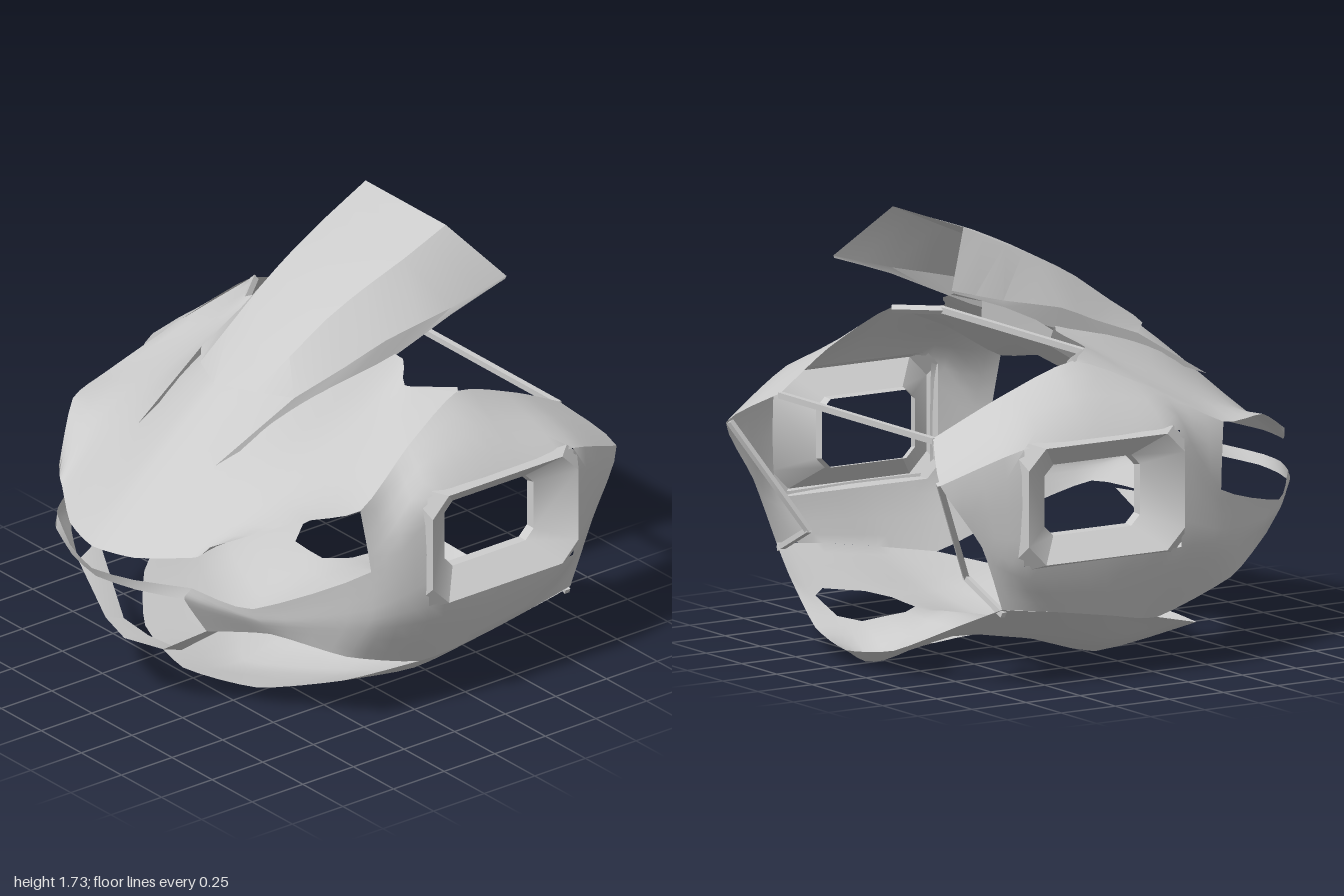
import * as THREE from 'three';
import { mergeGeometries, toCreasedNormals } from 'three/addons/utils/BufferGeometryUtils.js';

const material = new THREE.MeshStandardMaterial({ color: 0xcccccc, side: THREE.DoubleSide });

// Tight cardinal spline through a list of points, s in segment units
function spline(pts, s) {
  const i = Math.min(Math.floor(s), pts.length - 2), t = s - i, k = 0.28;
  const at = (n) => pts[Math.max(0, Math.min(pts.length - 1, n))];
  const [a, b, c, d] = [at(i - 1), at(i), at(i + 1), at(i + 2)];
  const h = t * t * (3 - 2 * t), h1 = t * (1 - t) * (1 - t), h2 = t * t * (t - 1);
  // ease only half way, so short tangents still give even spacing
  const e = 0.5 * h + 0.5 * t;
  return b.map((v, n) => v + (c[n] - v) * e
    + k * ((c[n] - a[n] - (c[n] - v)) * h1 + (d[n] - v - (c[n] - v)) * h2));
}

// Surface through rows of points. hole(i, j): 1 leaves a cell open, 2 leaves it open with cut corners
function surface(rows, ku = 4, kv = 4, hole = () => 0) {
  const nu = (rows[0].length - 1) * ku, nv = (rows.length - 1) * kv, pos = [];
  const lines = rows.map((r) => Array.from({ length: nu + 1 }, (_, i) => spline(r, i / ku)));
  const p = Array.from({ length: nv + 1 }, (_, j) =>
    Array.from({ length: nu + 1 }, (_, i) => spline(lines.map((l) => l[i]), j / kv)));
  for (let j = 0; j < nv; j++) for (let i = 0; i < nu; i++) {
    const a = p[j][i], b = p[j][i + 1], c = p[j + 1][i + 1], d = p[j + 1][i];
    const open = hole(Math.floor(i / ku), Math.floor(j / kv));
    if (!open) pos.push(...a, ...b, ...c, ...a, ...c, ...d);
    else if (open === 2) {
      const l = i % ku === 0, r = i % ku === ku - 1, lo = j % kv === 0, hi = j % kv === kv - 1;
      if (l && lo) pos.push(...a, ...b, ...d);
      if (r && lo) pos.push(...a, ...b, ...c);
      if (l && hi) pos.push(...a, ...c, ...d);
      if (r && hi) pos.push(...b, ...c, ...d);
    }
  }
  const g = new THREE.BufferGeometry();
  g.setAttribute('position', new THREE.Float32BufferAttribute(pos, 3));
  return g;
}

const flip = (row) => row.map(([x, y, z]) => [x, y, -z]);
// Rows run from the outer edge to the centre line; reflect them to the other side
const bothSides = (rows) => [...rows, ...rows.slice(0, -1).reverse().map(flip)];
// A row that runs from the outer edge to the centre line, continued to the other side
const across = (row) => [...row, ...flip(row).reverse().slice(1)];

function addMesh(group, name, geometry, crease = 0.6) {
  const mesh = new THREE.Mesh(toCreasedNormals(geometry, crease), material);
  mesh.name = name;
  group.add(mesh);
}

function addBar(group, name, points, r = 0.012) {
  const pieces = points.slice(1).map((q, i) => {
    const a = new THREE.Vector3(...points[i]), b = new THREE.Vector3(...q), d = b.clone().sub(a);
    const g = new THREE.BoxGeometry(r * 2, d.length() + r, r * 2).toNonIndexed();
    g.applyQuaternion(new THREE.Quaternion().setFromUnitVectors(new THREE.Vector3(0, 1, 0), d.normalize()));
    return g.translate(...a.add(b).multiplyScalar(0.5).toArray());
  });
  addMesh(group, name, mergeGeometries(pieces));
}

// Rectangle with cut corners, as a closed ring
function ventRing(hx, hy, z, c) {
  const ring = [[hx - c, hy], [hx, hy - c], [hx, c - hy], [hx - c, -hy],
    [c - hx, -hy], [-hx, c - hy], [-hx, hy - c], [c - hx, hy]];
  return [...ring, ring[0]].map(([x, y]) => [0.32 + x, 0.74 + y, z]);
}

export function createModel() {
  const model = new THREE.Group();

  // Edge shared by the crown and the side walls
  const flange = [[-0.79, 0.83, 0.47], [-0.54, 0.95, 0.7], [-0.3, 0.96, 0.79], [0, 1.12, 0.71], [0.3, 1.24, 0.64]];

  // Crown, with a crease along each side
  const crown = surface(bothSides([
    flange,
    [[-0.81, 0.79, 0.44], [-0.57, 0.93, 0.52], [-0.28, 1.04, 0.56], [0, 1.16, 0.55], [0.15, 1.255, 0.5]],
    [[-0.83, 0.77, 0.4], [-0.58, 0.94, 0.43], [-0.28, 1.09, 0.43], [0, 1.21, 0.42], [0.22, 1.31, 0.4]],
    [[-0.95, 0.73, 0.2], [-0.68, 0.93, 0.22], [-0.36, 1.16, 0.24], [-0.12, 1.28, 0.25], [0.14, 1.37, 0.26]],
    [[-1, 0.72, 0], [-0.72, 0.96, 0], [-0.4, 1.22, 0], [-0.15, 1.34, 0], [0.1, 1.44, 0]],
  ]), 4, 3);

  // Side walls: rear slot and vent left open
  const wall = [
    [...flange, [0.62, 1.12, 0.6], [0.88, 0.98, 0.54]],
    [[-0.84, 0.65, 0.42], [-0.68, 0.58, 0.6], [-0.27, 0.7, 0.82], [-0.04, 0.97, 0.88],
      [0.32, 0.98, 0.89], [0.68, 0.97, 0.88], [0.99, 0.84, 0.76]],
    [[-0.86, 0.6, 0.4], [-0.65, 0.52, 0.62], [-0.28, 0.5, 0.83], [-0.04, 0.51, 0.89],
      [0.32, 0.51, 0.9], [0.68, 0.51, 0.88], [0.83, 0.59, 0.81]],
    [[-0.75, 0.43, 0.4], [-0.61, 0.46, 0.62], [-0.35, 0.34, 0.77], [0, 0.22, 0.78],
      [0.25, 0.26, 0.82], [0.5, 0.3, 0.82], [0.73, 0.33, 0.8]],
  ];
  const wallHole = (i, j) => ((j === 0 && i < 2) || (j === 1 && (i === 3 || i === 4)) ? 1 : 0);

  // Floor and chin with two openings
  const floor = surface(bothSides([
    [[0, 0.22, 0.78], [0.25, 0.26, 0.82], [0.5, 0.3, 0.82], [0.66, 0.32, 0.81], [0.73, 0.33, 0.8]],
    [[-0.25, 0.15, 0.62], [0.1, 0.1, 0.62], [0.4, 0.14, 0.56], [0.75, 0.2, 0.55], [0.8, 0.24, 0.6]],
    [[-0.46, 0.08, 0.35], [0, 0.01, 0.33], [0.4, 0.12, 0.26], [0.76, 0.1, 0.26], [0.89, 0.1, 0.28]],
    [[-0.55, 0.06, 0], [-0.25, 0, 0], [0.45, 0.16, 0], [0.8, 0, 0], [0.93, 0.06, 0]],
  ]), 4, 4, (i, j) => (i === 2 && (j === 1 || j === 4) ? 2 : 0));

  addMesh(model, 'shell', mergeGeometries([
    crown, surface(wall, 4, 4, wallHole), surface(wall.map(flip), 4, 4, wallHole), floor]), 0.7);

  // Peak: flat top, a drooping flap on each side and a folded lower lip
  addMesh(model, 'peak', surface(bothSides([
    [[-0.58, 1.03, 0.24], [-0.25, 1.15, 0.3], [0.12, 1.28, 0.36], [0.46, 1.43, 0.4], [0.71, 1.515, 0.42]],
    [[-0.23, 1.235, 0.29], [0, 1.32, 0.33], [0.17, 1.39, 0.36], [0.46, 1.455, 0.395], [0.715, 1.525, 0.42]],
    [[-0.33, 1.245, 0.17], [0, 1.47, 0.2], [0.17, 1.56, 0.22], [0.35, 1.64, 0.24], [0.55, 1.73, 0.25]],
    [[-0.4, 1.24, 0], [0, 1.49, 0], [0.17, 1.58, 0], [0.35, 1.66, 0], [0.55, 1.73, 0]],
  ]), 2, 1), 0.4);

  // Tapering air duct under the crown
  addMesh(model, 'duct', surface(bothSides([
    [[-0.54, 0.91, 0.13], [-0.3, 1.08, 0.19], [0.12, 1.36, 0.27]],
    [[-0.51, 0.84, 0.11], [-0.31, 0.95, 0.15], [0.15, 1.22, 0.24]],
    [[-0.51, 0.84, 0], [-0.31, 0.95, 0], [0.15, 1.22, 0]],
  ]), 2, 1), 0.4);

  // Rear guard: an upper and a lower band closing the loop
  addMesh(model, 'rearGuardUpper', surface([
    across([[-0.84, 0.65, 0.42], [-0.95, 0.635, 0.2], [-1, 0.625, 0]]),
    across([[-0.86, 0.6, 0.4], [-0.94, 0.59, 0.2], [-0.98, 0.585, 0]])], 2, 1));
  addMesh(model, 'rearGuardLower', surface([
    across([[-0.75, 0.43, 0.4], [-0.79, 0.28, 0.18], [-0.84, 0.275, 0]]),
    across([[-0.61, 0.46, 0.45], [-0.7, 0.25, 0.18], [-0.72, 0.25, 0]])], 1, 1));

  for (const [side, s] of [['left', -1], ['right', 1]]) {
    // Raised vent frame with a funnel
    const rings = [ventRing(0.385, 0.25, 0.872, 0.05), ventRing(0.36, 0.23, 0.915, 0.08),
      ventRing(0.22, 0.14, 0.81, 0.04), ventRing(0.215, 0.135, 0.775, 0.04)];
    addMesh(model, side + 'Vent', surface(s > 0 ? rings : rings.map(flip), 1, 1), 0.5);
    // Strut from the brow corner down to the chin
    addBar(model, side + 'Strut', [[0.98, 0.84, 0.74 * s], [0.74, 0.42, 0.56 * s], [0.72, 0.31, 0.79 * s]], 0.011);
  }

  // Rim under the crown and bar over the face opening
  addBar(model, 'browRim', across([[0.3, 1.235, 0.63], [0.15, 1.235, 0.5], [0.15, 1.235, 0]]));
  addBar(model, 'faceBar', [[0.875, 0.97, -0.54], [0.875, 0.97, 0.54]]);
  return model;
}
